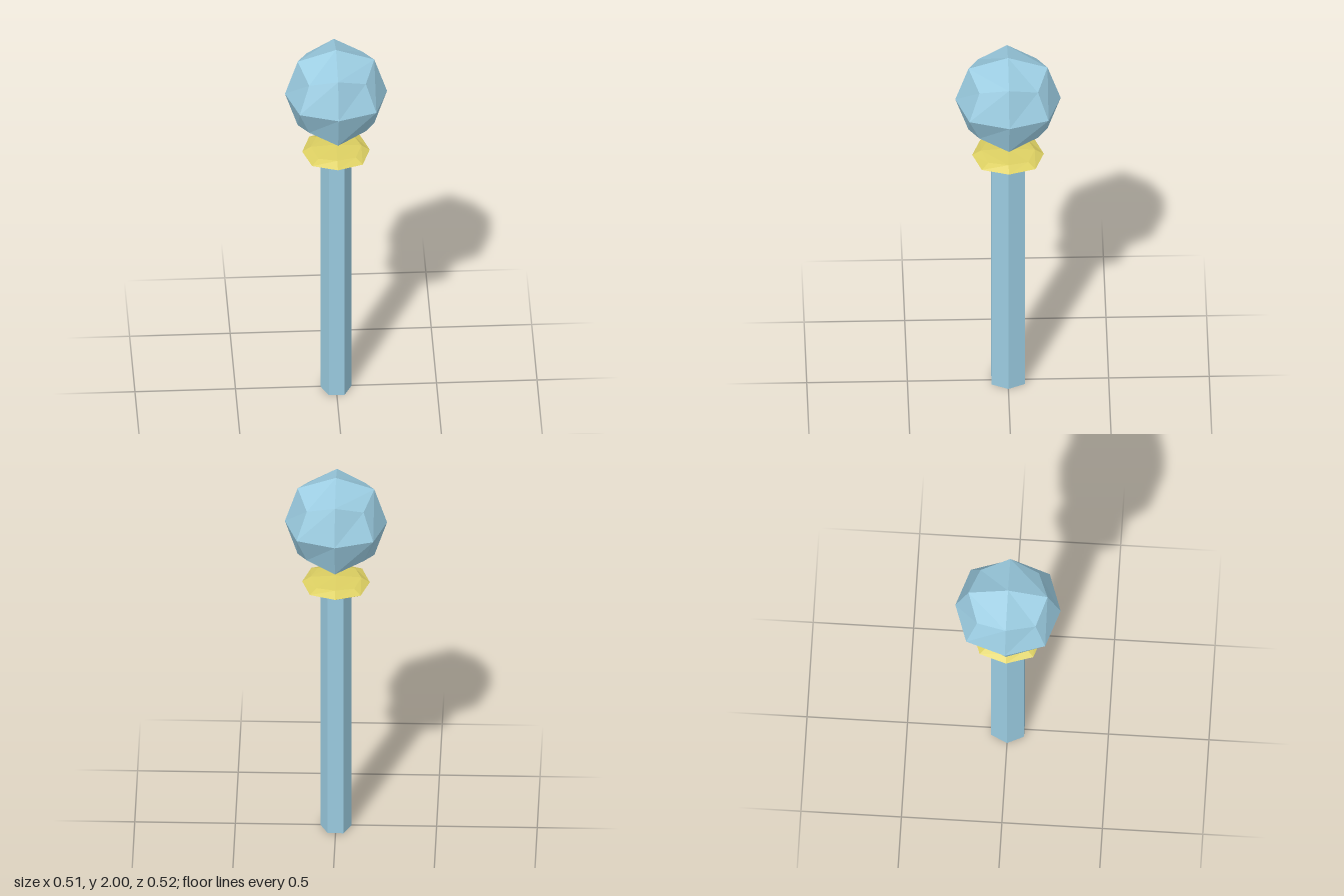
import * as THREE from 'three';

const blue = new THREE.MeshStandardMaterial({ color: 0x9acbe0, flatShading: true });
const gold = new THREE.MeshStandardMaterial({ color: 0xdccf62, flatShading: true });

// 24-sided faceted ball: a 2x2x2 grid cube smoothed once, then stretched to the given half sizes
function facetedBall(hx, hy, hz) {
  const geo = new THREE.BoxGeometry(2, 2, 2, 2, 2, 2);
  const pos = geo.attributes.position;
  const pull = [0, 1, 0.75, 5 / 9]; // face centre, edge middle, corner
  const v = new THREE.Vector3();
  for (let i = 0; i < pos.count; i++) {
    v.fromBufferAttribute(pos, i).round();
    v.multiplyScalar(pull[Math.abs(v.x) + Math.abs(v.y) + Math.abs(v.z)]);
    pos.setXYZ(i, v.x * hx, v.y * hy, v.z * hz);
  }
  const flat = geo.toNonIndexed();
  flat.computeVertexNormals();
  return flat;
}

function addPart(group, name, geometry, material, y) {
  const mesh = new THREE.Mesh(geometry, material);
  mesh.name = name;
  mesh.position.y = y;
  group.add(mesh);
}

export function createModel() {
  const group = new THREE.Group();
  group.name = 'orbStaff';

  // Six-sided shaft with corners on the x axis, slightly deeper than wide
  const height = 1.39;
  const shaft = new THREE.CylinderGeometry(0.078, 0.078, height, 6, 1, false, Math.PI / 2);
  shaft.scale(1, 1, 1.22);
  addPart(group, 'shaft', shaft, blue, height / 2);

  // Flattened collar on the shaft and the orb floating above it
  addPart(group, 'collar', facetedBall(0.168, 0.036, 0.178), gold, 1.401);
  addPart(group, 'orb', facetedBall(0.254, 0.252, 0.262), blue, 1.748);

  return group;
}
